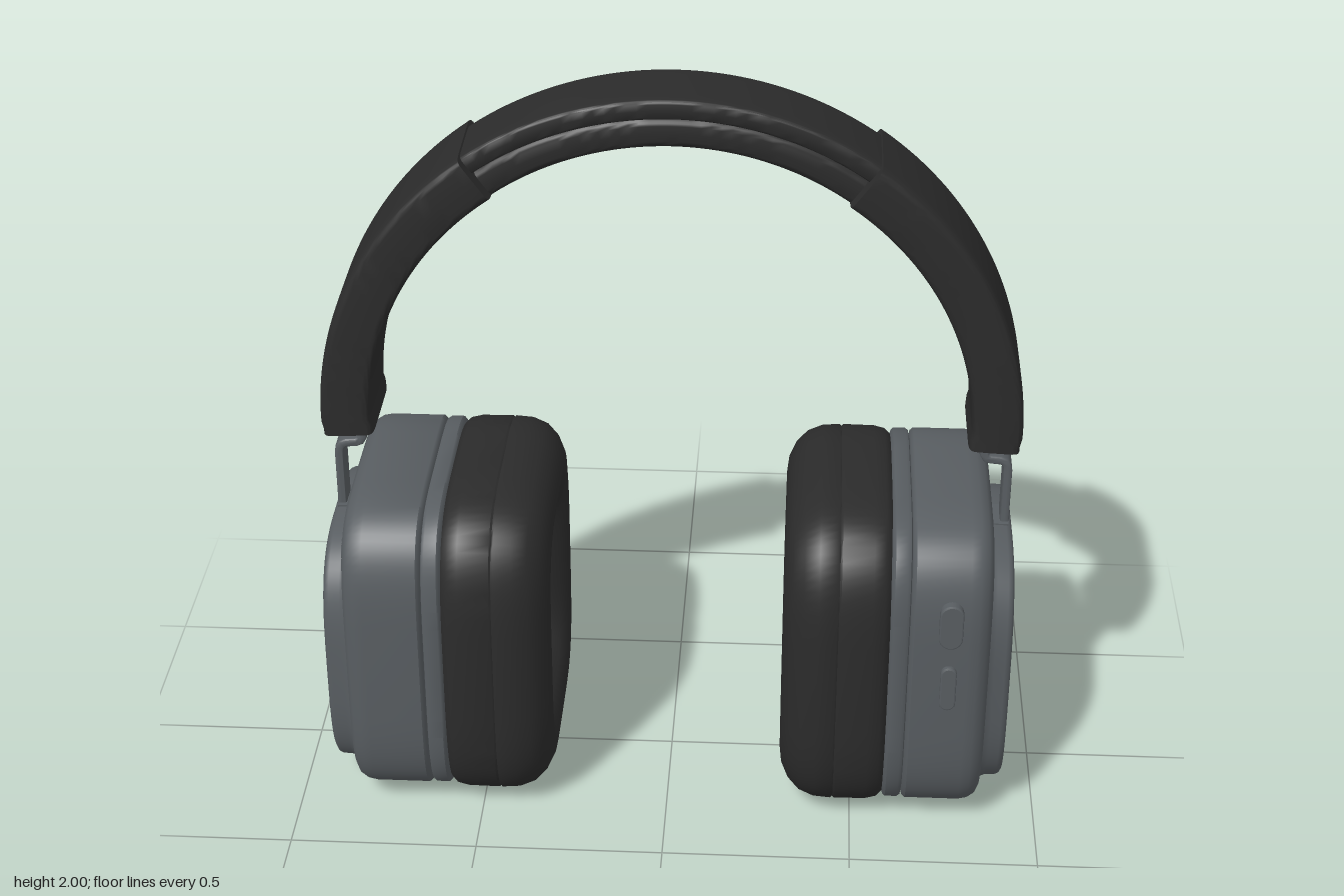
import * as THREE from 'three';
import { toCreasedNormals } from 'three/addons/utils/BufferGeometryUtils.js';

const mat = (name, color) => {
  const m = new THREE.MeshStandardMaterial({ color });
  m.name = name;
  return m;
};

// Point on a rounded-square (superellipse) outline
function squircle(t, a, b, n) {
  const f = (v) => Math.sign(v) * Math.pow(Math.abs(v), 2 / n);
  return [a * f(Math.cos(t)), b * f(Math.sin(t))];
}

// Skin a list of equal-length rings and cap both ends
function loft(rings, crease = 0.6) {
  const k = rings[0].length, pos = [], idx = [];
  rings.forEach((r) => r.forEach((p) => pos.push(...p)));
  for (let i = 0; i < rings.length - 1; i++) {
    for (let j = 0; j < k; j++) {
      const a = i * k + j, b = i * k + (j + 1) % k;
      idx.push(a, b, a + k, b, b + k, a + k);
    }
  }
  [0, rings.length - 1].forEach((i, end) => {
    const c = pos.length / 3;
    const mid = [0, 1, 2].map((d) => rings[i].reduce((s, p) => s + p[d], 0) / k);
    pos.push(...mid);
    for (let j = 0; j < k; j++) {
      const a = i * k + j, b = i * k + (j + 1) % k;
      if (end) idx.push(c, a, b); else idx.push(c, b, a);
    }
  });
  const g = new THREE.BufferGeometry();
  g.setAttribute('position', new THREE.Float32BufferAttribute(pos, 3));
  g.setIndex(idx);
  return toCreasedNormals(g, crease);
}

// Rounded-square sections stacked along x: [x, half depth, half height]
function stack(sections, cy, n, crease) {
  const k = 72;
  return loft(sections.map(([x, a, b]) => Array.from({ length: k }, (_, j) => {
    const [y, z] = squircle(j / k * Math.PI * 2, b, a, n);
    return [x, cy + y, z];
  })), crease);
}

// Flat bar swept along a path in the xy plane
function sweep(path, halfThick, halfWidth, n) {
  const k = 40;
  return loft(path.map(([x, y], i) => {
    const p = path[Math.max(i - 1, 0)], q = path[Math.min(i + 1, path.length - 1)];
    const t = new THREE.Vector2(q[0] - p[0], q[1] - p[1]).normalize();
    return Array.from({ length: k }, (_, j) => {
      const [u, w] = squircle(j / k * Math.PI * 2, halfThick, halfWidth, n);
      return [x - t.y * u, y + t.x * u, w];
    });
  }), 0.7);
}

// Arc points around the headband centre, angles in degrees from the top
function arc(r, from, to, steps) {
  return Array.from({ length: steps + 1 }, (_, i) => {
    const t = THREE.MathUtils.degToRad(from + (to - from) * i / steps);
    return [r * Math.sin(t), 1.09 + r * Math.cos(t)];
  });
}

// Upright pill-shaped key
function pill(halfWidth, halfLength, depth) {
  const s = new THREE.Shape(), c = halfLength - halfWidth;
  s.absarc(0, c, halfWidth, 0, Math.PI, false);
  s.absarc(0, -c, halfWidth, Math.PI, Math.PI * 2, false);
  return new THREE.ExtrudeGeometry(s, {
    depth, curveSegments: 12, bevelThickness: 0.004, bevelSize: 0.004, bevelOffset: -0.004, bevelSegments: 2,
  });
}

export function createModel() {
  const black = mat('soft black', 0x2b2b2b);
  const grey = mat('slate grey', 0x585d61);
  const silver = mat('light silver', 0xcbcbcd);
  const dark = mat('port black', 0x1c1c1d);

  const model = new THREE.Group();
  model.name = 'headphones';
  const add = (parent, name, geo, material) => {
    const m = new THREE.Mesh(geo, material);
    m.name = name;
    parent.add(m);
    return m;
  };

  // Cushion runs from the speaker floor, out of the hole, over the roll and back
  const cushion = stack([
    [0.535, 0.06, 0.09], [0.53, 0.10, 0.14], [0.54, 0.105, 0.145], [0.54, 0.15, 0.205],
    [0.53, 0.155, 0.21], [0.53, 0.185, 0.245],
    [0.48, 0.18, 0.24], [0.42, 0.182, 0.242], [0.37, 0.195, 0.257], [0.33, 0.22, 0.283],
    [0.311, 0.25, 0.314], [0.306, 0.28, 0.345], [0.311, 0.315, 0.38], [0.33, 0.35, 0.416],
    [0.36, 0.376, 0.443], [0.40, 0.39, 0.457], [0.447, 0.393, 0.46],
    [0.452, 0.389, 0.456], [0.457, 0.393, 0.46],
    [0.54, 0.392, 0.459], [0.57, 0.386, 0.453], [0.588, 0.37, 0.437],
  ], 0.46, 4, 0.9);

  const housing = stack([
    [0.582, 0.36, 0.425], [0.588, 0.378, 0.441], [0.594, 0.383, 0.446], [0.626, 0.383, 0.446],
    [0.634, 0.378, 0.441], [0.637, 0.366, 0.43], [0.64, 0.378, 0.441], [0.648, 0.385, 0.447],
    [0.79, 0.385, 0.447], [0.815, 0.381, 0.443], [0.835, 0.37, 0.432],
    [0.846, 0.352, 0.414], [0.85, 0.33, 0.392],
  ], 0.463, 4.4, 0.7);

  const rim = stack([
    [0.84, 0.336, 0.372], [0.852, 0.328, 0.368], [0.865, 0.321, 0.365], [0.893, 0.319, 0.364],
    [0.903, 0.315, 0.36], [0.909, 0.306, 0.35], [0.909, 0.294, 0.322], [0.904, 0.29, 0.317],
  ], 0.414, 3.4, 0.7);

  const plate = stack([[0.902, 0.288, 0.315], [0.9085, 0.288, 0.315], [0.91, 0.285, 0.312]], 0.41, 3.4, 0.5);

  // Sleeve follows the arc and ends in a short straight drop
  const sleeve = sweep([...arc(0.848, 35, 90, 30), [0.843, 1.07], [0.842, 1.05]], 0.067, 0.14, 9);

  // Cranked metal bar between sleeve and cup
  const stem = sweep([
    [0.822, 1.08], [0.822, 1.0], [0.824, 0.985], [0.83, 0.974], [0.842, 0.969], [0.868, 0.967],
    [0.88, 0.962], [0.887, 0.951], [0.889, 0.935], [0.889, 0.76],
  ], 0.012, 0.037, 8);

  for (const side of ['left', 'right']) {
    const g = new THREE.Group();
    g.name = side + 'Side';
    g.position.z = -0.007;
    if (side === 'right') g.rotation.y = Math.PI;
    model.add(g);

    add(g, 'earCushion', cushion, black);
    add(g, 'cupHousing', housing, grey);
    add(g, 'outerRim', rim, grey);
    add(g, 'facePlate', plate, silver);
    add(g, 'bandSleeve', sleeve, black);
    add(g, 'stem', stem, grey);
    add(g, 'stemFoot', new THREE.BoxGeometry(0.045, 0.02, 0.1), grey).position.set(0.877, 0.772, 0);

    // Round key with a raised ring on the outer face
    const key = add(g, 'roundKey', new THREE.CylinderGeometry(0.028, 0.028, 0.012, 32), grey);
    key.rotation.z = Math.PI / 2;
    key.position.set(0.848, 0.77, -0.248);
    const ring = add(g, 'roundKeyRing', new THREE.TorusGeometry(0.034, 0.004, 8, 32), grey);
    ring.rotation.y = Math.PI / 2;
    ring.position.set(0.85, 0.77, -0.248);

    if (side === 'left') {
      // Side keys and charging port are on this cup only
      add(g, 'upperKey', pill(0.031, 0.066, 0.03), grey).position.set(0.742, 0.675, 0.365);
      add(g, 'lowerKey', pill(0.021, 0.066, 0.03), grey).position.set(0.742, 0.483, 0.365);
      const port = add(g, 'chargingPort', pill(0.018, 0.055, 0.004), dark);
      port.rotation.x = Math.PI / 2;
      port.position.set(0.745, 0.0195, 0);
    }
  }

  // Middle of the headband with a padded liner tucked into the sleeves
  const band = new THREE.Group();
  band.name = 'headband';
  band.position.z = -0.007;
  model.add(band);
  add(band, 'outerBand', sweep(arc(0.882, -42, 42, 48), 0.028, 0.107, 7), black);
  add(band, 'innerPad', sweep(arc(0.817, -49, 49, 56), 0.043, 0.098, 5), black);

  return model;
}
